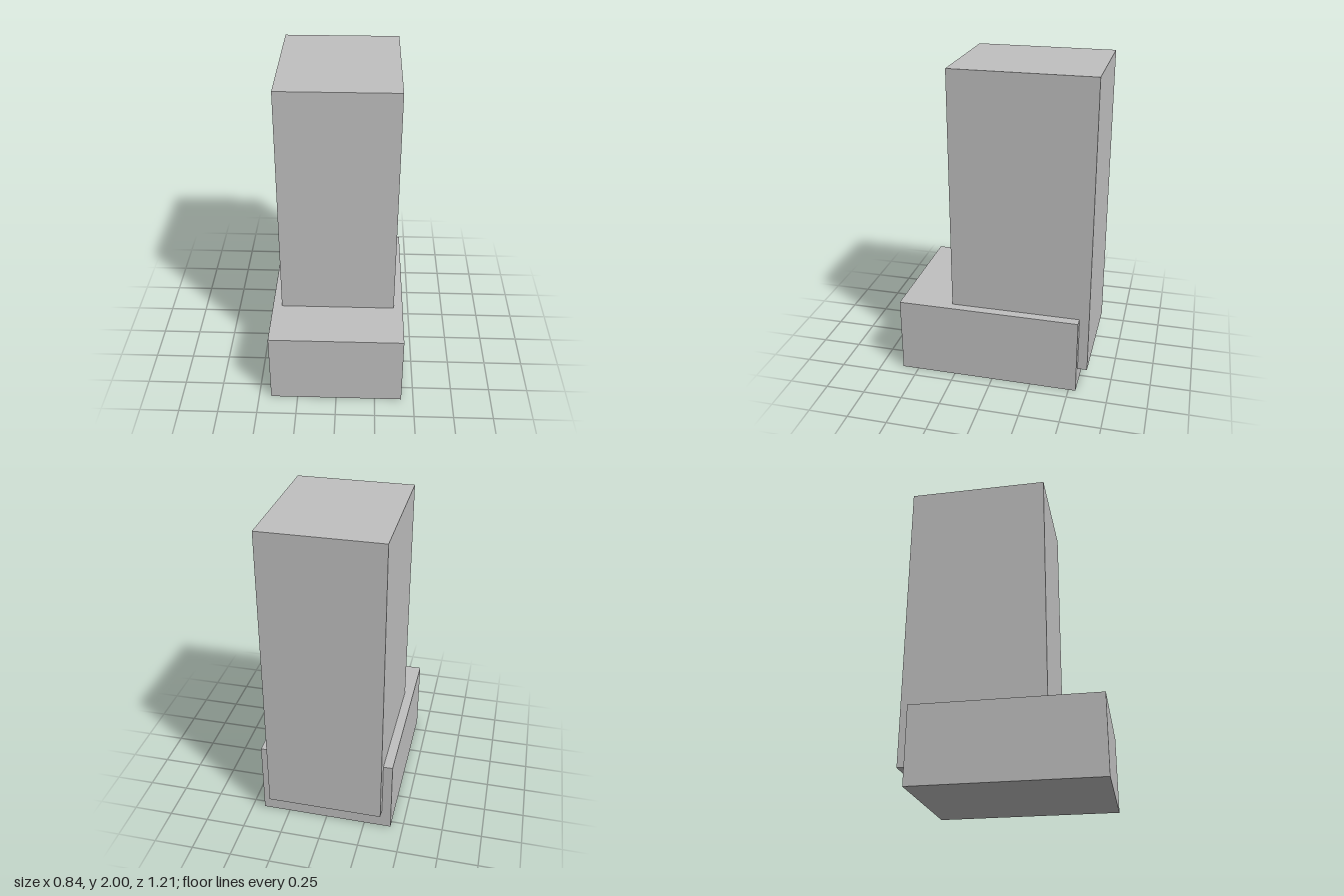
import * as THREE from 'three';

export function createModel() {
  const model = new THREE.Group();
  const lightGrey = new THREE.MeshStandardMaterial({ color: 0xc0c0c0 });
  lightGrey.name = 'lightGrey';

  // Box spanning two opposite corners, centred on x
  function addBlock(name, width, y0, y1, z0, z1) {
    const mesh = new THREE.Mesh(new THREE.BoxGeometry(width, y1 - y0, z1 - z0), lightGrey);
    mesh.name = name;
    mesh.position.set(0, (y0 + y1) / 2, (z0 + z1) / 2);
    model.add(mesh);
  }

  // Low podium at the front
  addBlock('podium', 0.844, 0, 0.485, -0.545, 0.605);
  // Tall tower, sunk into the podium and overhanging it at the back
  addBlock('tower', 0.728, 0.127, 2, -0.605, 0.271);

  return model;
}
